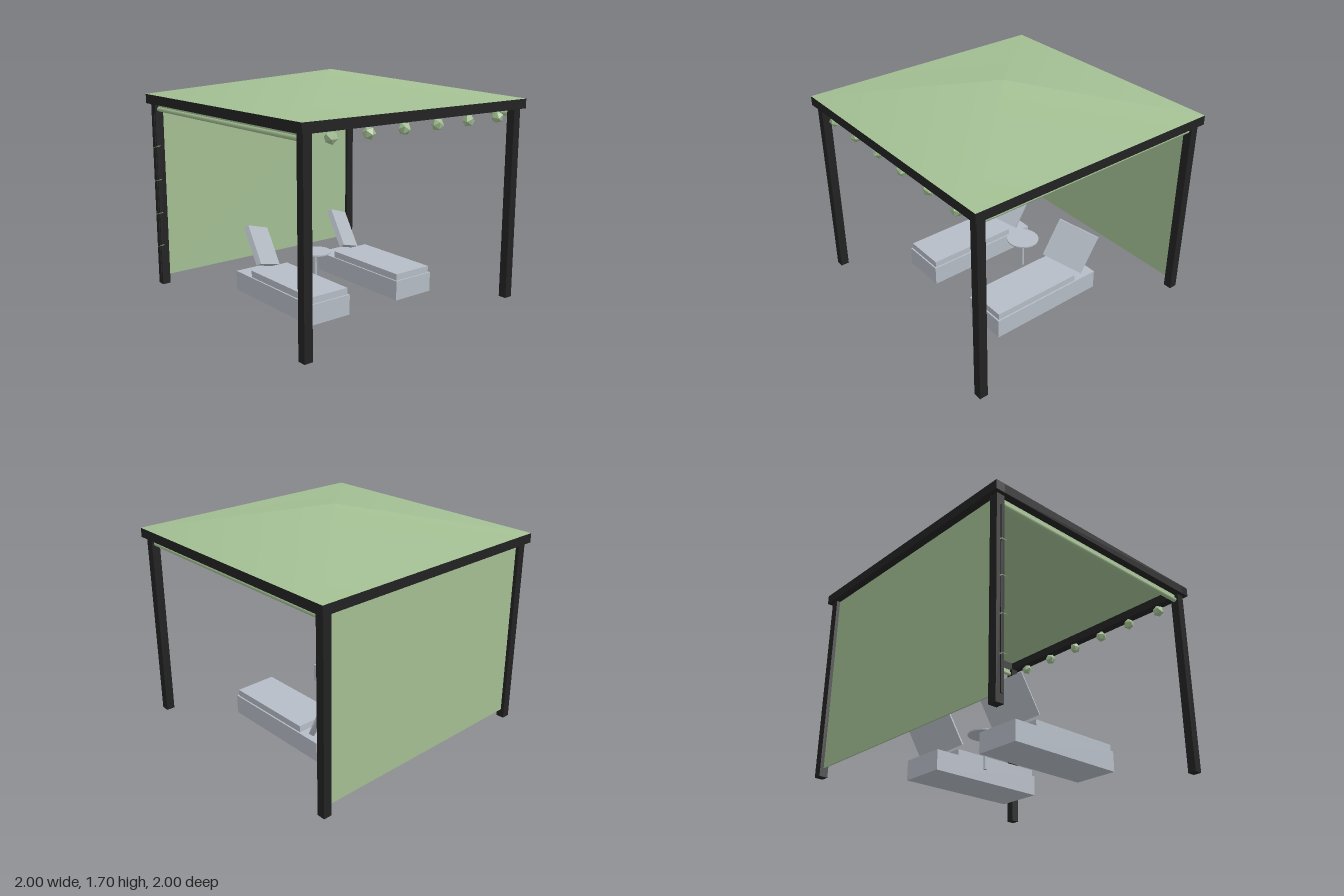
import * as THREE from 'three';

export function createModel() {
  const model = new THREE.Group();
  const mat = (name, color) => {
    const m = new THREE.MeshStandardMaterial({ color });
    m.name = name;
    return m;
  };
  const green = mat('canvas green', 0xa3bf93);
  const black = mat('frame black', 0x222222);
  const grey = mat('lounger grey', 0xb6bdc6);

  const add = (name, geometry, material, x, y, z, parent = model) => {
    const mesh = new THREE.Mesh(geometry, material);
    mesh.name = name;
    mesh.position.set(x, y, z);
    parent.add(mesh);
    return mesh;
  };
  const box = (w, h, d) => new THREE.BoxGeometry(w, h, d);

  // Pyramid canopy
  add('canopyRoof', new THREE.ConeGeometry(Math.SQRT2, 0.2, 4, 1, false, Math.PI / 4), green, 0, 1.6, 0);

  // Posts, top beams and rolled-up side blinds
  for (const s of [-1, 1]) {
    for (const t of [-1, 1]) add('post', box(0.064, 1.43, 0.064), black, s * 0.94, 0.715, t * 0.94);
    add('crossBeam', box(2, 0.07, 0.07), black, 0, 1.465, s * 0.965);
    add('sideBeam', box(0.07, 0.07, 1.86), black, s * 0.965, 1.465, 0);
    const roll = add('blindRoll', new THREE.CylinderGeometry(0.018, 0.018, 1.82, 8), green, s * 0.94, 1.388, 0);
    roll.rotation.x = Math.PI / 2;
    add('blindStrip', box(0.008, 0.03, 1.82), green, s * 0.94, 1.417, 0);
  }

  // Lowered back blind
  add('backBlind', box(1.82, 1.365, 0.01), green, 0, 0.7475, -0.94);

  // Faceted lanterns along the front beam
  const lantern = new THREE.IcosahedronGeometry(0.045, 0);
  for (let i = 0; i < 6; i++) {
    const l = add('lantern', lantern, green, -0.75 + i * 0.3, 1.382, 0.95);
    l.rotation.set(0.15, i * 0.4, Math.PI / 2);
  }

  // Climbing stem with leaves on one back post
  add('climberStem', box(0.012, 1.29, 0.02), black, -0.973, 0.705, -0.93);
  const leaf = new THREE.ConeGeometry(0.028, 0.09, 4);
  leaf.scale(1, 1, 0.3);
  leaf.rotateX(Math.PI / 2 - 0.35);
  for (let i = 0; i < 4; i++) add('leaf', leaf, green, -0.962, 0.32 + i * 0.262, -0.903);

  // Two loungers with twisted, reclined backrests
  for (const x of [-0.4, 0.4]) {
    const lounger = new THREE.Group();
    lounger.name = 'lounger';
    lounger.position.x = x;
    model.add(lounger);
    add('loungerBase', box(0.35, 0.15, 0.95), grey, 0, 0.075, 0.027, lounger);
    add('seatCushion', box(0.326, 0.05, 0.74), grey, 0, 0.175, 0.12, lounger);
    const back = add('backrest', box(0.33, 0.31, 0.04), grey, 0, 0.34, -0.35, lounger);
    back.rotation.set(-0.56, 0.59, 0);
  }

  // Small round table
  add('tableTop', new THREE.CylinderGeometry(0.127, 0.127, 0.01, 24), grey, 0, 0.255, -0.2);
  add('tableStem', new THREE.CylinderGeometry(0.0125, 0.0125, 0.25, 12), grey, 0, 0.125, -0.2);

  return model;
}
